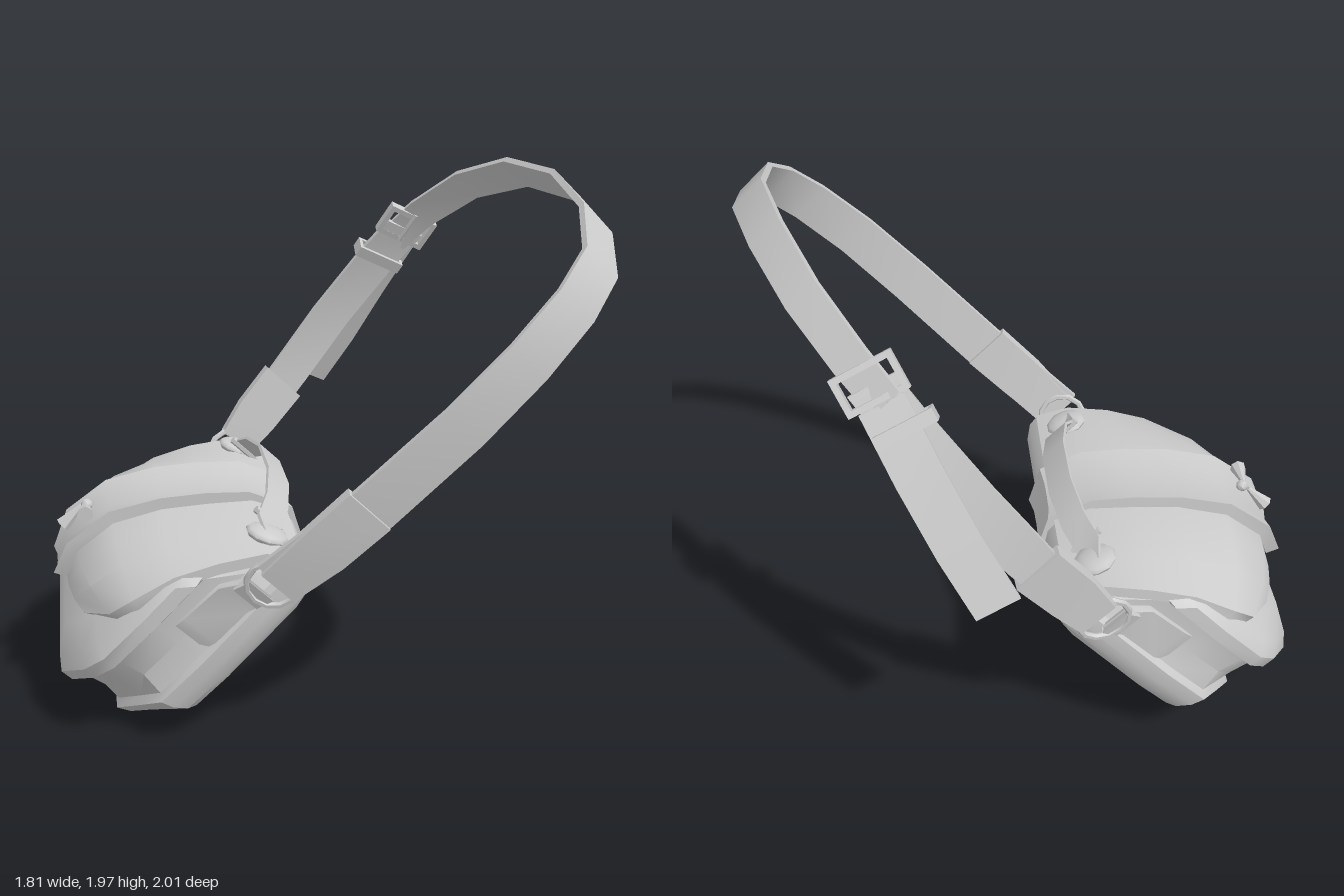
import * as THREE from 'three';
import { toCreasedNormals } from 'three/addons/utils/BufferGeometryUtils.js';

const V = (x, y, z) => new THREE.Vector3(x, y, z);
const path = (pts) => pts.map((p) => V(...p));
const material = new THREE.MeshStandardMaterial({ color: 0xcccccc, side: THREE.DoubleSide });

function part(parent, name, geometry, crease = 0.75) {
  const mesh = new THREE.Mesh(toCreasedNormals(geometry, crease), material);
  mesh.name = name;
  parent.add(mesh);
  return mesh;
}

// Skin a list of equal-length rings and close both ends
function loft(rings) {
  const n = rings[0].length, last = (rings.length - 1) * n, index = [];
  const verts = rings.flat();
  const centre = (r) => r.reduce((s, p) => s.add(p), V(0, 0, 0)).divideScalar(n);
  verts.push(centre(rings[0]), centre(rings[rings.length - 1]));
  for (let j = 0; j < n; j++) {
    const k = (j + 1) % n;
    for (let i = 0; i < rings.length - 1; i++) {
      const a = i * n + j, b = i * n + k;
      index.push(a, b, b + n, a, b + n, a + n);
    }
    index.push(verts.length - 2, k, j, verts.length - 1, last + j, last + k);
  }
  const geo = new THREE.BufferGeometry().setFromPoints(verts);
  geo.setIndex(index);
  return geo;
}

// Strip along a path; "drop" bends its edges down
function ribbon(pts, side, halfWidth, thick, drop = () => 0, cols = 2) {
  const rings = pts.map((p, i) => {
    const t = pts[Math.min(i + 1, pts.length - 1)].clone().sub(pts[Math.max(i - 1, 0)]).normalize();
    const normal = t.clone().cross(side).normalize();
    const hw = halfWidth(i);
    const at = (u, off) => p.clone().addScaledVector(side, u * hw)
      .addScaledVector(normal, off - drop(i) * Math.abs(u) ** 3);
    const ring = [];
    for (let c = 0; c < cols; c++) ring.push(at(-1 + 2 * c / (cols - 1), -thick / 2));
    for (let c = 0; c < cols; c++) ring.push(at(1 - 2 * c / (cols - 1), thick / 2));
    return ring;
  });
  return loft(rings);
}

// Rectangular frame with a hole
function frame(w, h, bar, depth) {
  const rect = (S, a, b) => new S([[-a, -b], [a, -b], [a, b], [-a, b]].map((p) => new THREE.Vector2(...p)));
  const shape = rect(THREE.Shape, w / 2, h / 2);
  shape.holes.push(rect(THREE.Path, w / 2 - bar, h / 2 - bar));
  return new THREE.ExtrudeGeometry(shape, { depth, bevelEnabled: false }).translate(0, 0, -depth / 2);
}

function buildBag(bag) {
  const X = V(1, 0, 0);

  // Body: depth, width scale, lower scale, top height; gusset sits inside two rims
  const sections = [
    [-0.225, 0.92, 0.79, 0.36], [-0.2, 0.96, 0.87, 0.42], [-0.15, 0.99, 0.96, 0.455], [-0.1, 1, 1, 0.46],
    [-0.085, 0.95, 0.94, 0.42], [0, 0.92, 0.9, 0.34], [0.1, 0.94, 0.93, 0.235],
    [0.115, 1, 1, 0.21], [0.165, 1, 1, 0.16], [0.205, 0.93, 0.92, 0.11], [0.25, 0.75, 0.75, 0.05],
  ];
  const rings = sections.map(([z, sx, sy, top]) => {
    const low = z < -0.05 ? 0.91 : 1; // the back rim is rounder below
    const half = [[0.36 * low, -0.465], [0.51 * low, -0.35], [0.58, -0.25], [0.6, -0.05]]
      .map(([x, y]) => [x * sx, y * sy]);
    half.push([0.6 * sx, top - 0.05], [0.575 * sx, top]);
    return [...half.map(([x, y]) => V(x, y, z)), ...half.reverse().map(([x, y]) => V(-x, y, z))];
  });
  part(bag, 'body', loft(rings), 0.6);

  // Flap curving from the top edge over the front
  const flap = path([[0, 0.455, -0.11], [0, 0.4, 0.01], [0, 0.285, 0.125], [0, 0.165, 0.235],
    [0, 0.015, 0.33], [0, -0.14, 0.355], [0, -0.25, 0.3]]);
  const flapW = [0.575, 0.58, 0.585, 0.58, 0.57, 0.53, 0.38];
  const flapDrop = [0.01, 0.025, 0.045, 0.08, 0.125, 0.13, 0.06];
  part(bag, 'flap', ribbon(flap, X, (i) => flapW[i], 0.04, (i) => flapDrop[i], 9));

  // Central band around front, top and back
  const band = path([[0, -0.26, 0.33], [0, -0.14, 0.38], [0, 0.03, 0.35], [0, 0.18, 0.25], [0, 0.3, 0.14],
    [0, 0.4, 0.03], [0, 0.455, -0.11], [0, 0.4, -0.205], [0, 0.3, -0.222], [0, 0, -0.225], [0, -0.34, -0.215],
    [0, -0.4, -0.175], [0, -0.435, -0.12]]);
  part(bag, 'centreBand', ribbon(band, X, (i) => (i ? 0.16 : 0.12), 0.05, () => 0.015, 5));

  // Clasp: knob and two small tapered toggles
  const clasp = new THREE.Group();
  clasp.name = 'clasp';
  clasp.position.set(0, -0.03, 0.42);
  bag.add(clasp);
  part(clasp, 'claspKnob', new THREE.SphereGeometry(0.022, 8, 6));
  for (const [x, y, turn] of [[0.06, 0, -Math.PI / 2], [-0.01, -0.07, Math.PI]]) {
    const toggle = part(clasp, 'toggle', new THREE.CylinderGeometry(0.03, 0.008, 0.1, 7));
    toggle.position.set(x, y, 0.01);
    toggle.rotation.z = turn;
  }

  // Carry handle
  const handle = path([[-0.47, 0.43, 0], [-0.38, 0.44, 0], [-0.29, 0.5, 0], [-0.12, 0.54, 0],
    [0.12, 0.54, 0], [0.29, 0.5, 0], [0.38, 0.44, 0], [0.47, 0.43, 0]]);
  part(bag, 'handle', ribbon(handle, V(0, 0, 1), (i) => (i % 7 ? 0.052 : 0.03), 0.012));

  for (const s of [-1, 1]) {
    // Round handle mounts
    const mount = part(bag, 'handleMount', new THREE.SphereGeometry(0.08, 10, 6));
    mount.position.set(s * 0.445, 0.42, 0);
    mount.scale.y = 0.35;
    mount.rotation.x = 0.45;
    const pin = part(bag, 'handlePin', new THREE.CylinderGeometry(0.014, 0.014, 0.13, 6));
    pin.position.set(s * 0.36, 0.445, 0);
    pin.rotation.x = Math.PI / 2;

    // Side tab with its ring
    const tab = path([[s * 0.55, 0.0, -0.02], [s * 0.565, 0.04, -0.02], [s * 0.57, 0.2, -0.03],
      [s * 0.6, 0.28, -0.05], [s * 0.63, 0.3, -0.05], [s * 0.6, 0.24, -0.04]]);
    part(bag, 'sideTab', ribbon(tab, V(0, 0, 1), (i) => (i < 3 ? 0.075 : 0.055), 0.03));
    const ring = part(bag, 'sideRing', new THREE.TorusGeometry(0.09, 0.012, 6, 12));
    ring.position.set(s * 0.645, 0.345, -0.06);
    ring.rotation.set(0, Math.PI / 2, -s * 0.25, 'ZYX');
  }
}

function buildStrap(strap, D) {
  // Long shoulder strap up to the buckle
  const long = path([[-0.43, 0.64, 0.4], [-0.22, 0.9, 0.62], [0, 1.19, 0.82], [0.17, 1.4, 0.93],
    [0.33, 1.57, 0.975], [0.46, 1.69, 0.955], [0.6, 1.805, 0.81], [0.74, 1.89, 0.55], [0.825, 1.91, 0.24],
    [0.855, 1.84, -0.05], [0.82, 1.71, -0.27], [0.77, 1.6, -0.38]]);
  part(strap, 'shoulderStrap', ribbon(long, D, (i) => 0.093 - 0.003 * i, 0.022));

  // Short strap and loose end below the buckle, turned towards the front
  const across = V(0.85, -0.42, 0.33).normalize();
  const short = path([[0.79, 1.65, -0.33], [0.74, 1.54, -0.42], [0.6, 1.28, -0.57],
    [0.45, 1.03, -0.67], [0.33, 0.87, -0.72], [0.25, 0.76, -0.76]]);
  part(strap, 'shortStrap', ribbon(short, across, () => 0.08, 0.022));
  const tail = path([[0.78, 1.6, -0.37], [0.745, 1.4, -0.51], [0.69, 1.18, -0.64], [0.63, 0.99, -0.76]]);
  part(strap, 'strapTail', ribbon(tail, across, () => 0.078, 0.018));

  // Folded sleeves at the rings
  const sleeves = [[[-0.43, 0.63, 0.4], [-0.33, 0.77, 0.52], [-0.22, 0.91, 0.62]],
    [[0.24, 0.75, -0.76], [0.32, 0.86, -0.725], [0.43, 1.0, -0.68]]];
  for (const pts of sleeves) {
    part(strap, 'strapSleeve', ribbon(path(pts), D, (i) => [0.075, 0.092, 0.095][i], 0.05));
  }

  // Buckle, prong and keeper loop lie across the strap
  const out = across.clone().cross(V(0.08, 0.17, 0.15)).normalize();
  const up = out.clone().cross(across);
  const fitting = (name, pos, geo) => {
    const mesh = part(strap, name, geo);
    mesh.quaternion.setFromRotationMatrix(new THREE.Matrix4().makeBasis(across, up, out));
    mesh.position.set(...pos);
  };
  fitting('buckle', [0.795, 1.655, -0.33], frame(0.21, 0.13, 0.02, 0.035));
  fitting('buckleProng', [0.8, 1.66, -0.33], new THREE.CylinderGeometry(0.01, 0.01, 0.13, 6).translate(0, 0, 0.02));
  fitting('keeperLoop', [0.735, 1.53, -0.43], frame(0.2, 0.075, 0.014, 0.045).rotateX(Math.PI / 2));
}

export function createModel() {
  const model = new THREE.Group();
  model.name = 'shoulderBag';

  // The bag leans back and is turned on the ground
  const across = V(-0.49, -0.07, 0.87).normalize();
  const front = across.clone().cross(V(0.575, 0.723, 0.384)).normalize();
  const upward = front.clone().cross(across);
  const bag = new THREE.Group();
  bag.name = 'bag';
  bag.quaternion.setFromRotationMatrix(new THREE.Matrix4().makeBasis(across, upward, front));
  bag.position.set(-0.348, 0.458, -0.343);
  buildBag(bag);

  const strap = new THREE.Group();
  strap.name = 'strap';
  buildStrap(strap, front);

  model.add(bag, strap);

  // Rest on the ground
  const box = new THREE.Box3().setFromObject(model, true);
  model.position.y = -box.min.y;
  return model;
}
